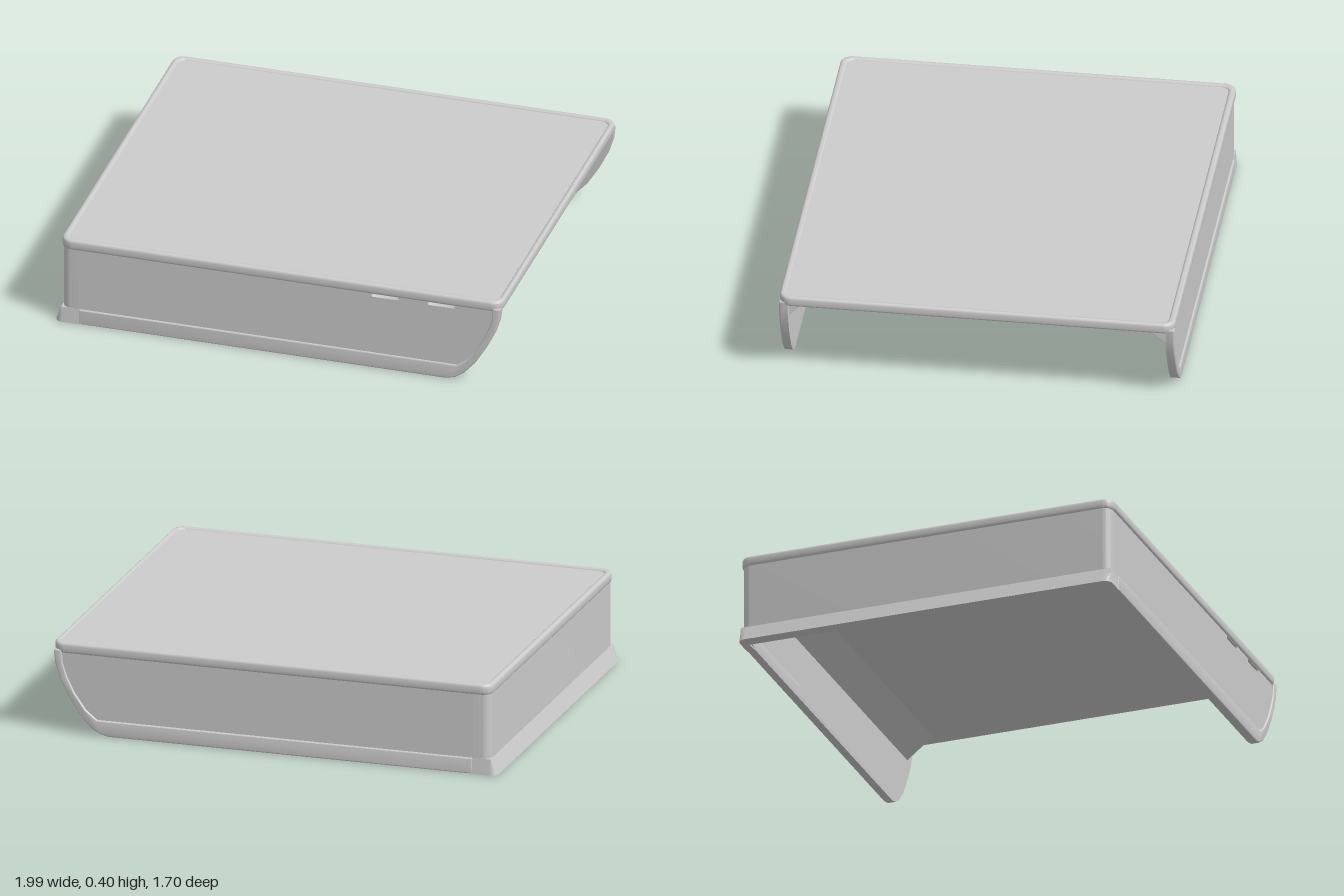
import * as THREE from 'three';
import { toCreasedNormals } from 'three/addons/utils/BufferGeometryUtils.js';

const material = new THREE.MeshStandardMaterial({ color: 0xcccccc });

// swept open end of the side walls, from the underside up to the top
const sweep = [[0.74, 0], [0.78, 0.01], [0.82, 0.035], [0.87, 0.09], [0.92, 0.17], [0.955, 0.24], [0.978, 0.31], [0.985, 0.37]];

function outline(points) {
  return new THREE.Shape(points.map(([x, y]) => new THREE.Vector2(x, y)));
}

function roundedRect(Type, x0, x1, y0, y1, r) {
  const s = new Type();
  s.absarc(x1 - r, y1 - r, r, 0, Math.PI / 2);
  s.absarc(x0 + r, y1 - r, r, Math.PI / 2, Math.PI);
  s.absarc(x0 + r, y0 + r, r, Math.PI, Math.PI * 1.5);
  s.absarc(x1 - r, y0 + r, r, Math.PI * 1.5, Math.PI * 2);
  s.closePath();
  return s;
}

function extrude(shape, depth, bevel = 0) {
  return new THREE.ExtrudeGeometry(shape, {
    depth: depth - 2 * bevel, curveSegments: 6, bevelEnabled: bevel > 0,
    bevelSize: bevel, bevelThickness: bevel, bevelOffset: -bevel, bevelSegments: 3,
  }).translate(0, 0, bevel);
}

// plan shape (x, z) raised from y0 to y1
function raise(shape, y0, y1, bevel) {
  return extrude(shape, y1 - y0, bevel).rotateX(-Math.PI / 2).translate(0, y0, 0);
}

// section (z, y) run along x
function runAlongX(section, x0, x1) {
  return extrude(outline(section), x1 - x0).rotateY(Math.PI / 2)
    .scale(1, 1, 1).translate(x0, 0, 0);
}

// plan of the closed end: a wall with two rounded corners and short returns
function endPlan(xo, zo, xi, zi, xe, r) {
  const s = new THREE.Shape();
  s.moveTo(xe, zo);
  s.lineTo(xo + r, zo);
  s.absarc(xo + r, zo - r, r, Math.PI / 2, Math.PI);
  s.absarc(xo + r, -zo + r, r, Math.PI, Math.PI * 1.5);
  s.lineTo(xe, -zo);
  s.lineTo(xe, -zi);
  s.lineTo(xi, -zi);
  s.lineTo(xi, zi);
  s.lineTo(xe, zi);
  s.closePath();
  return s;
}

export function createModel() {
  const group = new THREE.Group();
  const add = (name, geometry) => {
    const mesh = new THREE.Mesh(toCreasedNormals(geometry, 0.6), material);
    mesh.name = name;
    group.add(mesh);
  };

  // top: rounded raised rim around a slightly lower panel
  const rim = roundedRect(THREE.Shape, -0.975, 0.99, -0.85, 0.85, 0.05);
  rim.holes.push(roundedRect(THREE.Path, -0.945, 0.965, -0.82, 0.82, 0.035));
  add('topRim', raise(rim, 0.355, 0.402, 0.012));
  add('topPanel', raise(roundedRect(THREE.Shape, -0.955, 0.975, -0.83, 0.83, 0.04), 0.358, 0.395));

  // closed end wall with its rounded corners
  add('endWall', raise(endPlan(-0.97, 0.842, -0.93, 0.812, -0.88, 0.04), 0.01, 0.38));

  // flared foot of the end wall, drawn in towards its top
  const foot = raise(endPlan(-1, 0.85, -0.94, 0.815, -0.88, 0.035), 0, 0.07);
  const p = foot.attributes.position;
  for (let i = 0; i < p.count; i++) {
    if (p.getY(i) > 0.05) {
      p.setX(i, Math.max(p.getX(i), -0.972));
      p.setZ(i, THREE.MathUtils.clamp(p.getZ(i), -0.843, 0.843));
    }
  }
  foot.computeVertexNormals();
  add('endFoot', foot);

  // side walls; the front one has two narrow slots
  const slots = [[0.41, 0.53], [0.66, 0.78]];
  for (const side of [1, -1]) {
    const label = side > 0 ? 'front' : 'back';
    const wall = outline([[-0.89, 0], ...sweep, [-0.89, 0.37]]);
    if (side > 0) {
      for (const [a, b] of slots) wall.holes.push(roundedRect(THREE.Path, a, b, 0.34, 0.354, 0.005));
    }
    add(label + 'Wall', extrude(wall, 0.03).translate(0, 0, side > 0 ? 0.812 : -0.842));

    // raised border along the foot and the swept end
    const inner = [[0.95, 0.37], [0.945, 0.31], [0.925, 0.25], [0.89, 0.18], [0.84, 0.11], [0.79, 0.07], [-0.89, 0.07]];
    const border = outline([[-0.89, 0], ...sweep, ...inner]);
    add(label + 'Border', extrude(border, 0.038, 0.006).translate(0, 0, side > 0 ? 0.812 : -0.85));

    // sloping fillets between wall and ceiling, interrupted at the slots
    const runs = side > 0 ? [[-0.9, 0.4], [0.54, 0.65], [0.79, 0.92]] : [[-0.9, 0.92]];
    const depth = side > 0 ? 0.73 : 0.69;
    // runAlongX maps section x to -z
    const section = [[-side * depth, 0.362], [-side * 0.82, 0.362], [-side * 0.82, 0.26]];
    if (side < 0) section.reverse();
    runs.forEach(([a, b], i) => add(label + 'Fillet' + (i + 1), runAlongX(section, a, b)));
  }

  // fillet along the closed end
  add('endFillet', extrude(outline([[-0.94, 0.28], [-0.86, 0.362], [-0.94, 0.362]]), 1.63).translate(0, 0, -0.815));

  return group;
}
